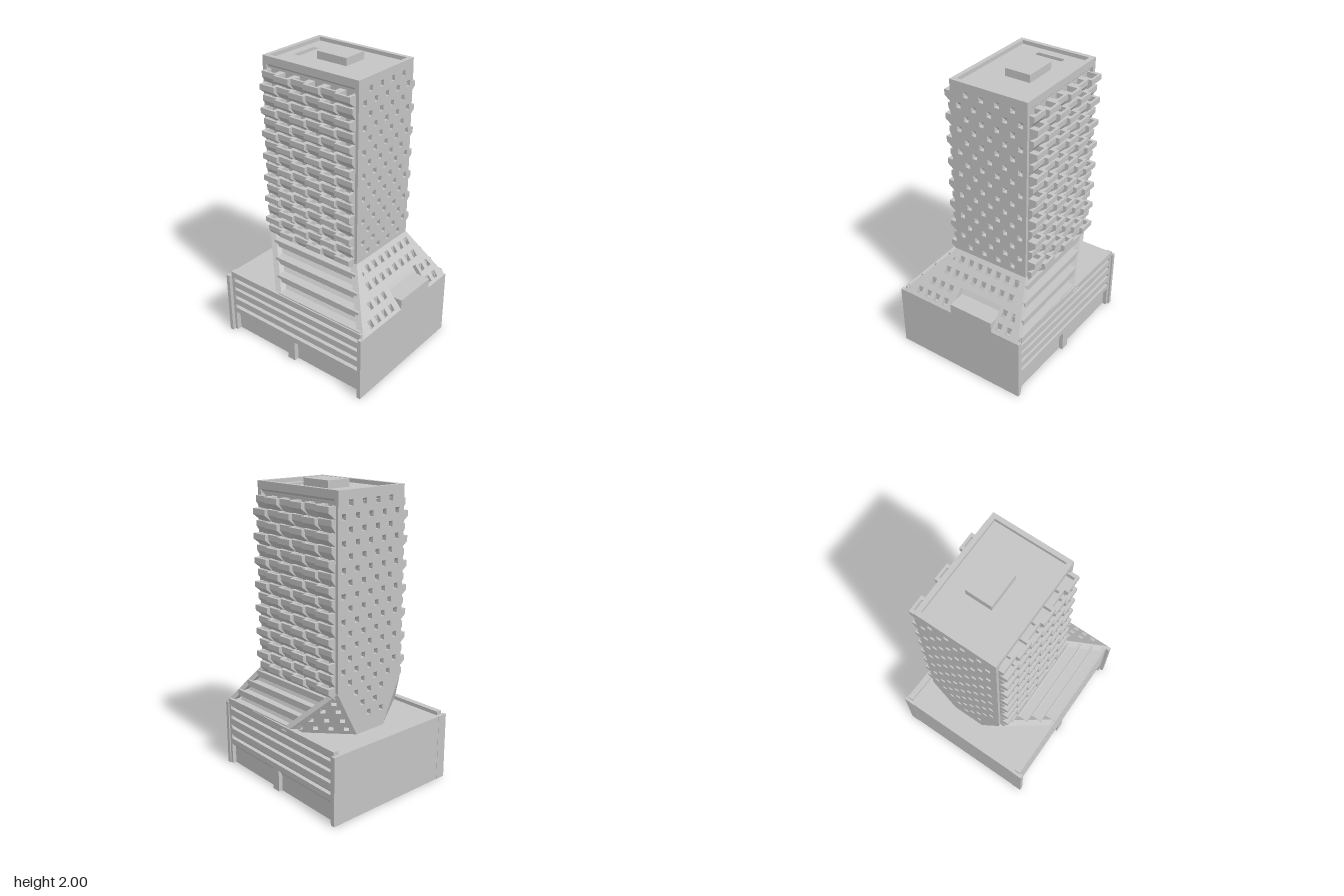
import * as THREE from 'three';
import { mergeGeometries } from 'three/addons/utils/BufferGeometryUtils.js';

const concrete = new THREE.MeshStandardMaterial({ color: 0xc4c4c4 });
concrete.name = 'light concrete';
const V = (x, y, z) => new THREE.Vector3(x, y, z);
const shapeOf = pts => new THREE.Shape(pts.map(p => new THREE.Vector2(p[0], p[1])));
const extrude = (shape, depth) => new THREE.ExtrudeGeometry(shape, { depth, bevelEnabled: false });

function mesh(name, geos) {
  const list = [].concat(geos).map(g => (g.index ? g.toNonIndexed() : g));
  const m = new THREE.Mesh(list.length > 1 ? mergeGeometries(list) : list[0], concrete);
  m.name = name;
  return m;
}

const box = (x0, x1, y0, y1, z0, z1) =>
  new THREE.BoxGeometry(x1 - x0, y1 - y0, z1 - z0).translate((x0 + x1) / 2, (y0 + y1) / 2, (z0 + z1) / 2);

// Section given as [z, y], run along x
const bar = (x0, x1, pts) => extrude(shapeOf(pts), x1 - x0).rotateY(-Math.PI / 2).translate(x1, 0, 0);

// Floor plan given as [x, z], raised from y0 to y1
function plan(pts, y0, y1, holes = []) {
  const flip = list => list.map(([x, z]) => [x, -z]);
  const s = shapeOf(flip(pts));
  s.holes = holes.map(h => shapeOf(flip(h)));
  return extrude(s, y1 - y0).rotateX(-Math.PI / 2).translate(0, y0, 0);
}
const rect = (x0, x1, z0, z1) => [[x0, z0], [x1, z0], [x1, z1], [x0, z1]];

// Solid between two [x, z] loops, counterclockwise from above
function loft(bottom, top, y0, y1) {
  const b = bottom.map(p => V(p[0], y0, p[1])), t = top.map(p => V(p[0], y1, p[1]));
  const tri = [], n = b.length;
  for (let i = 0; i < n; i++) {
    const j = (i + 1) % n;
    tri.push(b[i], b[j], t[j], b[i], t[j], t[i]);
    if (i > 0 && i < n - 1) tri.push(t[0], t[i], t[i + 1], b[0], b[i + 1], b[i]);
  }
  const g = new THREE.BufferGeometry().setFromPoints(tri);
  g.setAttribute('uv', new THREE.Float32BufferAttribute(new Float32Array(tri.length * 2), 2));
  g.computeVertexNormals();
  return g;
}

// Flat wall through 3D corners with small hooded window openings
function windowWall(corners, windows, w = 0.032, h = 0.036, depth = 0.03) {
  const o = corners[0];
  const n = corners[1].clone().sub(o).cross(corners[2].clone().sub(o)).normalize();
  const v = V(0, 1, 0).addScaledVector(n, -n.y).normalize();
  const u = v.clone().cross(n);
  const flat = p => { const d = p.clone().sub(o); return [d.dot(u), d.dot(v)]; };
  const s = shapeOf(corners.map(flat));
  const parts = [];
  for (const p of windows) {
    const [a, b] = flat(p);
    s.holes.push(shapeOf(rect(a - w / 2, a + w / 2, b - h / 2, b + h / 2)));
    parts.push(bar(a - w / 2, a + w / 2, [[depth, b + h / 2], [0, b + h / 2], [0, b - h / 4]]));
  }
  parts.unshift(extrude(s, depth));
  const m = new THREE.Matrix4().makeBasis(u, v, n).setPosition(o.clone().addScaledVector(n, -depth));
  return parts.map(g => g.applyMatrix4(m));
}

const PITCH = 0.0777, KNEE = 0.76, ROOF = 0.455, TOP = 1.975;

// Staggered balcony trays of one tower face, local z = 0 at the face plane
function balconyFace() {
  const geos = [], w = 0.705 / 6;
  for (let f = 0; f < 15; f++) for (let c = 0; c < 6; c++) {
    const y = 1.885 - PITCH * (f + 1), x = -0.3525 + c * w;
    const d = (f + c) % 2 ? 0.057 : 0.032, k = y + 0.044, t = y + 0.08;
    const side = [[-0.03, y], [0, y], [d, k], [d, t], [-0.03, t]];
    const tray = [[-0.03, y], [0, y], [d, k], [d, t], [d - 0.016, t], [d - 0.016, k], [-0.03, k]];
    geos.push(bar(x, x + 0.023, side), bar(x + 0.023, x + w - 0.023, tray), bar(x + w - 0.023, x + w, side));
  }
  // top beam
  geos.push(bar(-0.3525, 0.3525, [[-0.03, 1.895], [0, 1.925], [0, TOP], [-0.03, TOP]]));
  return mesh('balconies', geos);
}

// Banded podium front, local z = 0 at the face plane
function podiumFace() {
  const geos = [];
  const tops = [0.48, 0.41, 0.34, 0.267, 0.19], lows = [0.437, 0.365, 0.295, 0.22, 0.15];
  tops.forEach((t, i) => {
    const next = i < 4 ? tops[i + 1] : 0.115;
    geos.push(bar(-0.54, 0.54, [[-0.04, next], [-0.032, next], [0, lows[i]], [0, t], [-0.04, t]]));
  });
  for (const x of [-0.5475, 0.5475]) geos.push(box(x - 0.0125, x + 0.0125, 0, 0.48, -0.04, 0));
  geos.push(box(-0.05, 0.01, 0, 0.16, -0.04, 0));
  return mesh('podiumBands', geos);
}

export function createModel() {
  const model = new THREE.Group();
  model.name = 'towerBlock';

  // Podium
  model.add(mesh('podium', plan([[-0.58, 0.44], [0.58, 0.44], [0.58, -0.42], [-0.58, -0.46]], 0, ROOF)));
  const front = podiumFace(), back = podiumFace();
  front.position.z = 0.475;
  back.position.z = -0.468;
  back.rotation.y = Math.PI - 0.035;
  model.add(front, back);
  model.add(mesh('cornerPiers', [
    box(-0.582, -0.555, 0, ROOF, 0.43, 0.5), box(0.555, 0.58, 0, ROOF, 0.43, 0.5),
    box(-0.582, -0.555, 0, ROOF, -0.5, -0.43), box(0.555, 0.58, 0, ROOF, -0.457, -0.41),
  ]));

  // Flared foot of the tower
  const drop = y => KNEE - y;
  model.add(mesh('flareCore', loft(
    [[-0.39, 0.05], [-0.13, 0.425], [0.5, 0.425], [0.5, -0.42], [-0.08, -0.43], [-0.39, -0.16]],
    [[-0.395, 0.16], [-0.395, 0.17], [0.29, 0.17], [0.29, -0.29], [-0.395, -0.29], [-0.395, -0.28]], ROOF, KNEE)));
  model.add(mesh('flareFins', [
    loft([[-0.175, 0.425], [-0.14, 0.475], [-0.09, 0.475], [-0.09, 0.425]],
      [[-0.425, 0.16], [-0.425, 0.21], [-0.375, 0.21], [-0.375, 0.16]], ROOF, KNEE),
    loft([[0.53, 0.425], [0.53, 0.475], [0.58, 0.475], [0.58, 0.425]],
      [[0.27, 0.16], [0.27, 0.21], [0.32, 0.21], [0.32, 0.16]], ROOF, KNEE),
    loft([[-0.1, -0.475], [-0.148, -0.43], [-0.05, -0.43], [-0.05, -0.475]],
      [[-0.425, -0.33], [-0.425, -0.29], [-0.375, -0.29], [-0.375, -0.33]], ROOF, KNEE),
    loft([[0.53, -0.45], [0.53, -0.41], [0.58, -0.41], [0.58, -0.45]],
      [[0.27, -0.33], [0.27, -0.29], [0.32, -0.29], [0.32, -0.33]], ROOF, KNEE),
  ]));
  const terraces = [];
  for (let i = 0; i < 4; i++) {
    const t = 0.73 - i * PITCH, low = t - 0.052, d = drop(t - 0.03);
    const right = 0.32 + 0.8525 * d - 0.025;
    for (const [s, z0, slope, run] of [[1, 0.21, 0.87, 0.934], [-1, 0.33, 0.43, 1.066]]) {
      const z = z0 + slope * d, inner = z - 0.09;
      const pts = [[inner, low - 0.025], [z - 0.04, low - 0.025], [z, low], [z, t - 0.01], [inner, t - 0.01]];
      terraces.push(bar(-0.395 + run * d, right, pts.map(p => [s * p[0], p[1]])));
    }
  }
  model.add(mesh('terraces', terraces));

  // Sloping side wall with a notch for the porch box
  const sx = y => 0.32 + 0.8525 * drop(y), slopeWindows = [];
  [0.715, 0.642, 0.562, 0.492].forEach((y, row) => {
    for (let k = -5; k <= 5; k++) {
      const z = k * 0.0715, low = row > 1;
      const zMax = [0.22, 0.25, 0.3, 0.37][row], zMin = [-0.3, -0.3, -0.37, -0.37][row];
      if (z < zMax && z > zMin && !(low && z < 0.1 && z > -0.27)) slopeWindows.push(V(sx(y), y, z));
    }
  });
  model.add(mesh('slopingWall', windowWall([
    V(0.58, ROOF, 0.475), V(0.58, ROOF, 0.075), V(0.465, 0.59, 0.075), V(0.465, 0.59, -0.245),
    V(0.58, ROOF, -0.245), V(0.58, ROOF, -0.45), V(0.32, KNEE, -0.33), V(0.32, KNEE, 0.21),
  ], slopeWindows, 0.036, 0.05)));
  model.add(mesh('porchBox', box(0.44, 0.58, 0.44, 0.525, -0.245, 0.075)));

  // Undercut triangular walls on the other side
  const undercut = (a, b, c) => {
    const windows = [];
    [0.69, 0.63, 0.56, 0.495].forEach((y, row) => {
      const t = drop(y) / (KNEE - ROOF), p = a.clone().lerp(b, t), q = a.clone().lerp(c, t);
      for (let k = 0; k <= row; k++) windows.push(p.clone().lerp(q, (k + 0.5) / (row + 1)));
    });
    return windowWall([a, b, c], windows);
  };
  model.add(mesh('frontUndercut', undercut(V(-0.425, KNEE, 0.21), V(-0.425, ROOF, 0.06), V(-0.14, ROOF, 0.475))));
  model.add(mesh('backUndercut', undercut(V(-0.425, KNEE, -0.33), V(-0.1, ROOF, -0.475), V(-0.425, ROOF, -0.17))));

  // Tower shaft and its window walls
  model.add(mesh('towerCore', box(-0.395, 0.29, 0.7, 1.9, -0.3, 0.18)));
  const grid = (x, rows) => {
    const list = [];
    for (let r = 0; r < rows; r++) {
      const n = r % 2 ? 5 : 4;
      for (let k = 0; k < n; k++) {
        const z = -0.067 + (k - (n - 1) / 2) * 0.109;
        const limit = r > 14 ? 0.25 - 0.46 * (r - 14) * PITCH : 1;
        if (Math.abs(z + 0.06) < limit - 0.03) list.push(V(x, 1.9 - r * PITCH, z));
      }
    }
    return list;
  };
  model.add(mesh('rightWall', windowWall([
    V(0.32, KNEE, 0.21), V(0.32, KNEE, -0.33), V(0.32, TOP, -0.33), V(0.32, TOP, 0.21),
  ], grid(0.32, 15))));
  model.add(mesh('leftWall', windowWall([
    V(-0.425, ROOF, -0.17), V(-0.425, ROOF, 0.06), V(-0.425, KNEE, 0.21),
    V(-0.425, TOP, 0.21), V(-0.425, TOP, -0.33), V(-0.425, KNEE, -0.33),
  ], grid(-0.425, 18))));

  // Balconies on both long faces
  const bf = balconyFace(), bb = balconyFace();
  bf.position.set(-0.0525, 0, 0.21);
  bb.position.set(-0.0525, 0, -0.33);
  bb.rotation.y = Math.PI;
  model.add(bf, bb);

  // Roof with parapet, two pits and a plant room
  model.add(mesh('roof', plan(rect(-0.41, 0.305, -0.315, 0.195), 1.9, 1.95,
    [rect(-0.335, -0.24, -0.165, 0.025), rect(0.14, 0.24, -0.16, 0.015)])));
  model.add(mesh('parapet', plan(rect(-0.425, 0.32, -0.33, 0.21), 1.94, TOP, [rect(-0.402, 0.3, -0.31, 0.185)])));
  model.add(mesh('plantRoom', box(-0.165, 0.062, 1.94, 2, -0.175, 0)));
  return model;
}
